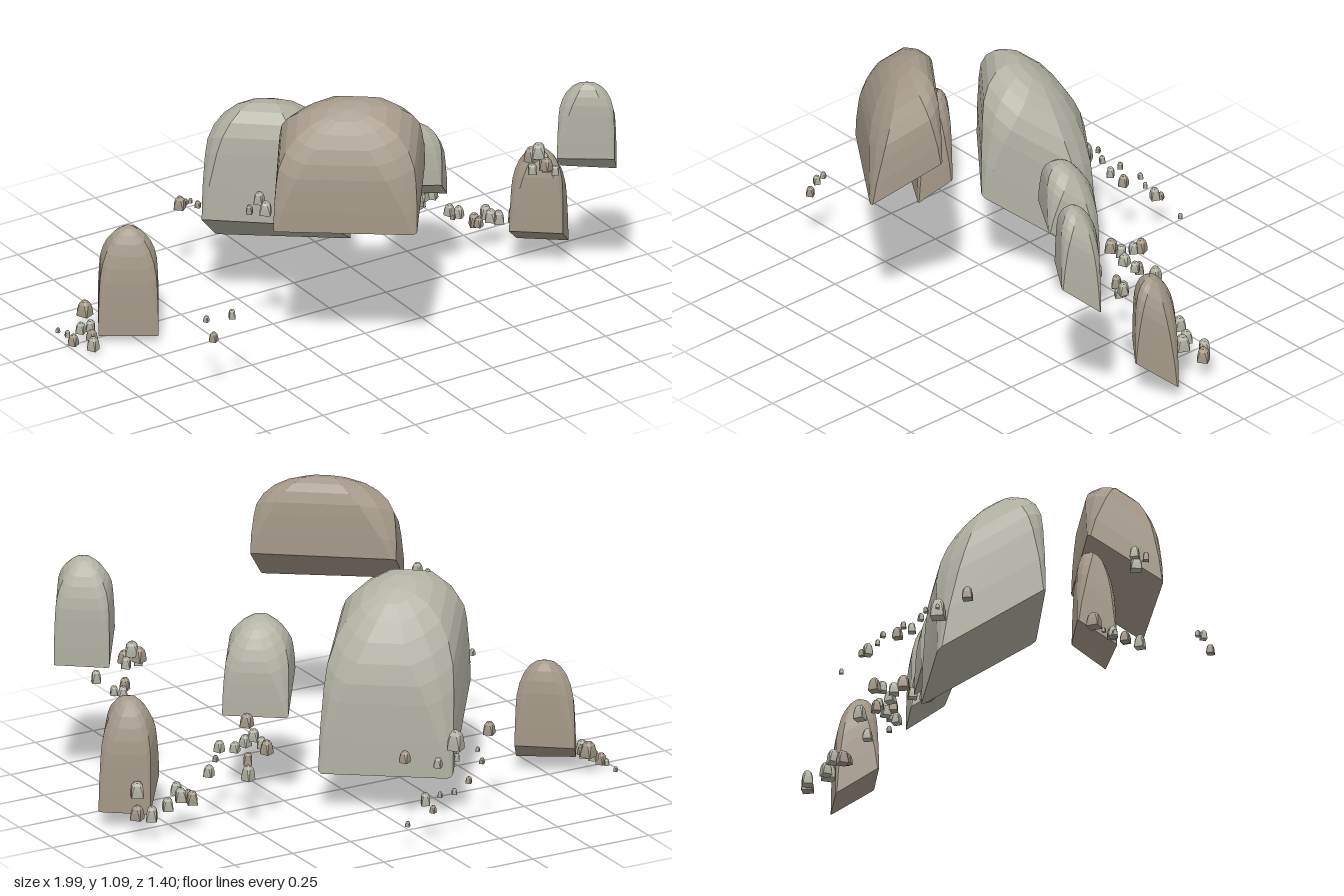
import * as THREE from 'three';

const material = (color) => new THREE.MeshStandardMaterial({ color, flatShading: true });
const greyStone = material(0xb0b0a2);
const brownStone = material(0xa39888);

function seeded(seed) {
  let s = seed * 7919 + 17;
  return () => (s = (s * 16807) % 2147483647) / 2147483647;
}

// Domed block: four base corners [x, y, z] (left, front, right, back),
// straight walls, then a rounded top whose corners are cut back as it rises.
// The top leans with the slope of the base.
function stoneGeometry(corners, wall, height, seed, steps = 6) {
  const rand = seeded(seed);
  rand();
  const [L, F, R, B] = corners.map((c) => new THREE.Vector3(...c));
  const at = (u, v, h) => {
    const low = L.clone().lerp(F, (u + 1) / 2);
    const high = B.clone().lerp(R, (u + 1) / 2);
    low.lerp(high, (v + 1) / 2);
    low.y += h;
    return low;
  };
  const cutFactor = [0, 1, 2, 3].map(() => 0.7 + 0.6 * rand());

  // levels: [height, scale, corner cut]
  const levels = [[0, 1, 0.06], [wall * 0.5, 0.995, 0.16], [wall, 0.97, 0.3]];
  for (let i = 1; i < steps; i++) {
    const a = (i / steps) * Math.PI / 2;
    levels.push([wall + (height - wall) * Math.sin(a), 0.97 * Math.cos(a) ** 0.9, 0.3 + 0.35 * Math.sin(a)]);
  }

  const signs = [[1, -1], [1, 1], [-1, 1], [-1, -1]];
  const rings = levels.map(([h, s, cut]) => {
    const ring = [];
    signs.forEach(([a, b], k) => {
      const c = cut * cutFactor[k];
      const m = 1 - 0.42 * c;
      const trio = [[a, b * (1 - c)], [a * m, b * m], [a * (1 - c), b]];
      if (a * b < 0) trio.reverse();
      if (a * b > 0) trio.forEach(([u, v]) => ring.push(at(u * s, v * s, h)));
      else trio.forEach(([u, v]) => ring.push(at(u * s, v * s, h)));
    });
    return ring;
  });

  const pos = [];
  const tri = (...pts) => pts.forEach((p) => pos.push(p.x, p.y, p.z));
  const n = rings[0].length;
  const bottom = at(0, 0, 0);
  const top = at(0, 0, height);
  for (let i = 0; i < n; i++) {
    const j = (i + 1) % n;
    tri(bottom, rings[0][j], rings[0][i]);
    for (let r = 0; r < rings.length - 1; r++) {
      const a = rings[r], b = rings[r + 1];
      tri(a[i], a[j], b[j]);
      tri(a[i], b[j], b[i]);
    }
    tri(rings[rings.length - 1][i], rings[rings.length - 1][j], top);
  }
  const g = new THREE.BufferGeometry();
  g.setAttribute('position', new THREE.Float32BufferAttribute(pos, 3));
  g.computeVertexNormals();
  return g;
}

// Boulders: base corners in plan, base height of the left/front and right/back edges
const boulders = [
  { name: 'largeBackBoulder', mat: greyStone, plan: [[-0.46, -0.17], [-0.09, 0.13], [0.21, -0.18], [-0.2, -0.48]], y: [0.42, 0.16], wall: 0.28, height: 0.55 },
  { name: 'largeFrontBoulder', mat: brownStone, plan: [[-0.5, 0.4], [-0.06, 0.71], [0.11, 0.5], [-0.33, 0.17]], y: [0.62, 0.8], wall: 0.16, height: 0.36 },
  { name: 'leftBoulder', mat: brownStone, plan: [[-0.89, -0.21], [-0.7, -0.09], [-0.63, -0.2], [-0.81, -0.34]], y: [0.03, 0.12], wall: 0.16, height: 0.37 },
  { name: 'middleBoulder', mat: greyStone, plan: [[0.16, 0.07], [0.37, 0.2], [0.49, 0.05], [0.29, -0.1]], y: [0.5, 0.37], wall: 0.13, height: 0.28 },
  { name: 'rightFrontBoulder', mat: greyStone, plan: [[0.71, 0.47], [0.89, 0.59], [0.975, 0.47], [0.81, 0.34]], y: [0.635, 0.525], wall: 0.18, height: 0.34 },
  { name: 'rightBoulder', mat: brownStone, plan: [[0.73, 0.1], [0.89, 0.225], [0.995, 0.1], [0.84, -0.02]], y: [0.17, 0.062], wall: 0.18, height: 0.37 },
];

// Pebble clusters: [x, base y, z, width]
const pebbleClusters = {
  backPebbles: [
    [-0.36, 0.31, -0.48, 0.04], [-0.21, 0.28, -0.49, 0.055], [-0.27, 0.28, -0.55, 0.016],
    [-0.26, 0.25, -0.6, 0.018], [-0.18, 0.26, -0.55, 0.022], [-0.11, 0.24, -0.53, 0.03],
    [-0.18, 0.2, -0.64, 0.022], [-0.1, 0.18, -0.67, 0.02], [-0.05, 0.17, -0.65, 0.018],
    [0, 0.13, -0.685, 0.022], [0.01, 0.15, -0.645, 0.035], [0.11, 0.095, -0.685, 0.018],
    [0.01, 0.27, -0.49, 0.036],
  ],
  leftPebbles: [
    [-0.88, 0.07, -0.32, 0.05], [-0.93, 0.03, -0.27, 0.034], [-0.9, 0.04, -0.25, 0.034],
    [-0.975, 0, -0.25, 0.035], [-0.975, 0.005, -0.36, 0.015], [-0.97, 0.012, -0.3, 0.02],
    [-0.925, 0.03, -0.2, 0.035], [-0.95, 0.015, -0.15, 0.038],
  ],
  frontLeftPebbles: [
    [-0.76, 0.23, 0.395, 0.03], [-0.755, 0.285, 0.335, 0.02], [-0.695, 0.32, 0.42, 0.026],
    [-0.53, 0.655, 0.28, 0.025], [-0.48, 0.68, 0.27, 0.036], [-0.465, 0.64, 0.29, 0.045],
  ],
  middlePebbles: [
    [0.44, 0.29, -0.2, 0.04], [0.52, 0.2, -0.2, 0.042], [0.44, 0.3, -0.16, 0.034],
    [0.49, 0.24, -0.145, 0.034], [0.44, 0.31, -0.1, 0.04], [0.47, 0.29, -0.09, 0.04],
    [0.44, 0.35, -0.05, 0.045], [0.52, 0.28, -0.1, 0.035], [0.615, 0.19, -0.07, 0.036],
    [0.555, 0.22, -0.015, 0.02], [0.53, 0.25, 0, 0.034],
  ],
  rightPebbles: [
    [0.71, 0.11, -0.11, 0.04], [0.76, 0.13, -0.11, 0.042], [0.75, 0.14, -0.06, 0.04],
    [0.71, 0.12, -0.08, 0.03], [0.81, 0.1, -0.1, 0.04], [0.89, 0.08, -0.12, 0.042],
    [0.93, 0.08, -0.08, 0.045], [0.89, 0.14, -0.01, 0.05],
  ],
  frontRightPebbles: [
    [0.71, 0.55, 0.29, 0.045], [0.69, 0.52, 0.33, 0.035], [0.73, 0.57, 0.31, 0.05],
    [0.74, 0.53, 0.35, 0.04], [0.76, 0.53, 0.3, 0.036], [0.82, 0.45, 0.22, 0.035],
    [0.8, 0.47, 0.24, 0.035], [0.835, 0.45, 0.26, 0.03], [0.895, 0.5, 0.29, 0.035],
  ],
};

// Base corners of a small square pebble, turned by an angle
const pebbleCorners = ([x, y, z, w], turn) => [0, 1, 2, 3].map((k) => {
  const a = turn + Math.PI - k * Math.PI / 2;
  return [x + Math.cos(a) * w * 0.66, y, z + Math.sin(a) * w * 0.66];
});

export function createModel() {
  const model = new THREE.Group();
  model.name = 'rockFormation';

  boulders.forEach(({ name, mat, plan, y, wall, height }, i) => {
    const corners = plan.map(([x, z], k) => [x, k < 2 ? y[0] : y[1], z]);
    const mesh = new THREE.Mesh(stoneGeometry(corners, wall, height, i + 1), mat);
    mesh.name = name;
    model.add(mesh);
  });

  const rand = seeded(42);
  for (const [name, list] of Object.entries(pebbleClusters)) {
    const cluster = new THREE.Group();
    cluster.name = name;
    list.forEach((p, i) => {
      const corners = pebbleCorners(p, (rand() - 0.5) * 0.9);
      const height = p[3] * (1.15 + 0.3 * rand());
      const mesh = new THREE.Mesh(stoneGeometry(corners, height * 0.5, height, i + 50, 3), i % 3 ? greyStone : brownStone);
      mesh.name = 'pebble';
      cluster.add(mesh);
    });
    model.add(cluster);
  }
  return model;
}
